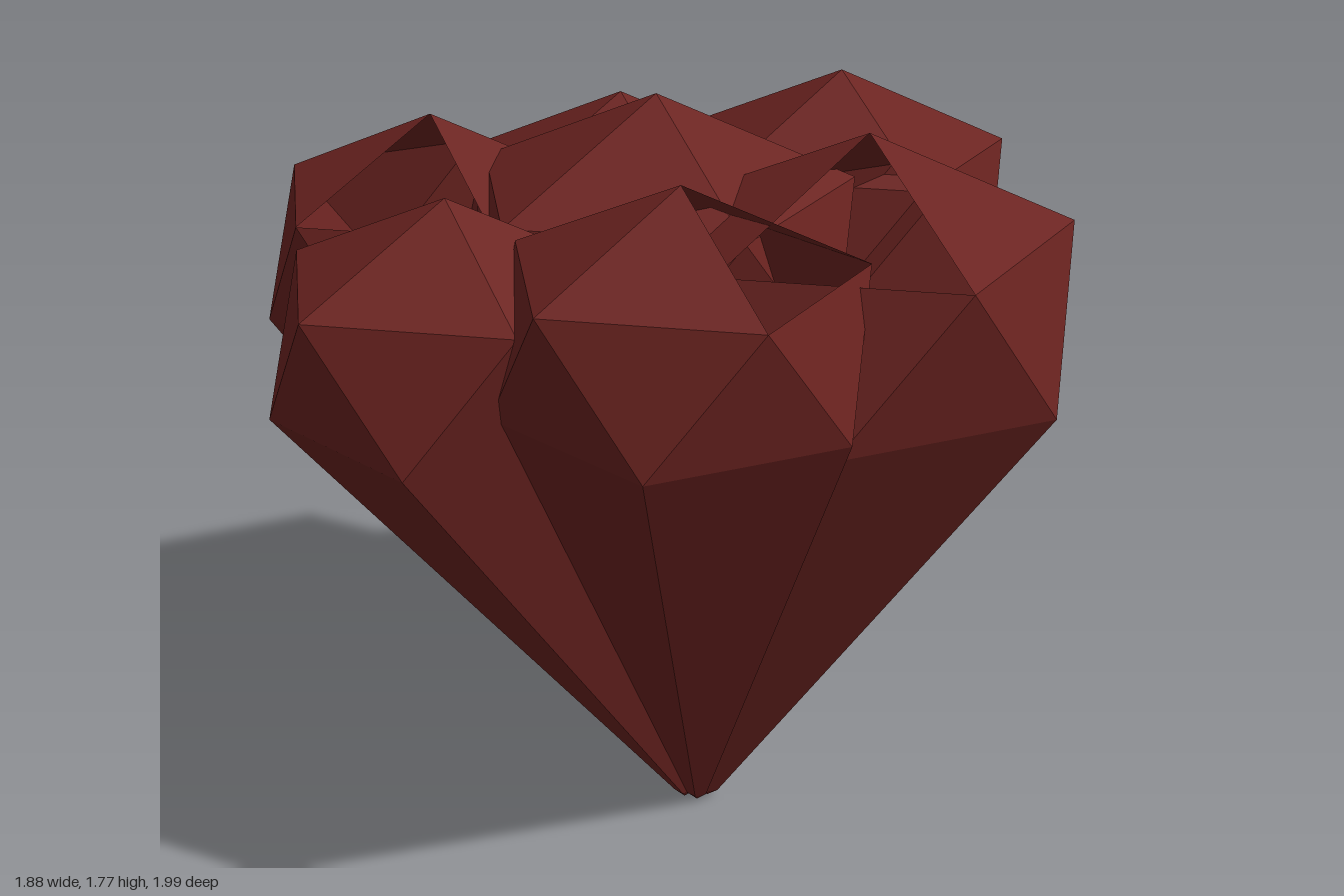
import * as THREE from 'three';

const STEP = Math.PI * 2 / 5;
const ROOT_X = 0.08, ROOT_Z = 0.11; // where all lobes meet at the bottom
const TAPER = 0.06;

// Facet crown (apex and two staggered pentagons) drawn down to a narrow root.
// openFace is the index of a crown facet left open, or -1.
function lobeGeometry(x, top, z, r, openFace) {
  const ring = (y, turn) => Array.from({ length: 5 }, (_, i) => {
    const a = (i + turn) * STEP;
    return [x + r * Math.cos(a), y, z + r * Math.sin(a)];
  });
  const shrink = (p, y) => [ROOT_X + (p[0] - ROOT_X) * TAPER, y, ROOT_Z + (p[2] - ROOT_Z) * TAPER];
  const apex = [x, top, z];
  const upper = ring(top - 0.467 * r, 0);
  const lower = ring(top - 1.24 * r, 0.5);
  const base = lower.map((p) => shrink(p, 0.02));
  const tip = shrink(apex, 0);
  const pos = [];
  const tri = (...corners) => corners.forEach((c) => pos.push(...c));
  for (let i = 0; i < 5; i++) {
    const j = (i + 1) % 5;
    if (i !== openFace) tri(apex, upper[j], upper[i]);
    tri(upper[i], upper[j], lower[i]);
    tri(upper[j], lower[j], lower[i]);
    tri(lower[i], lower[j], base[i]);
    tri(lower[j], base[j], base[i]);
    tri(tip, base[i], base[j]);
  }
  const geo = new THREE.BufferGeometry();
  geo.setAttribute('position', new THREE.Float32BufferAttribute(pos, 3));
  geo.computeVertexNormals();
  return geo;
}

export function createModel() {
  const group = new THREE.Group();
  group.name = 'lobedCluster';
  const material = new THREE.MeshStandardMaterial({
    color: 0x6b2320, flatShading: true, side: THREE.DoubleSide,
  });
  // name, apex x, y, z, crown radius, open facet
  const lobes = [
    ['centreLobe', 0, 1.77, -0.1, 0.48, -1],
    ['frontLobe', -0.03, 1.77, 0.59, 0.42, 0],
    ['frontLeftLobe', 0.44, 1.77, 0.27, 0.485, 1],
    ['backLeftLobe', 0.52, 1.69, -0.52, 0.42, -1],
    ['backLobe', -0.03, 1.63, -0.6, 0.42, -1],
    ['backRightLobe', -0.52, 1.655, -0.38, 0.415, 1],
    ['frontRightLobe', -0.52, 1.655, 0.27, 0.415, -1],
  ];
  for (const [name, ...shape] of lobes) {
    const mesh = new THREE.Mesh(lobeGeometry(...shape), material);
    mesh.name = name;
    group.add(mesh);
  }
  return group;
}
